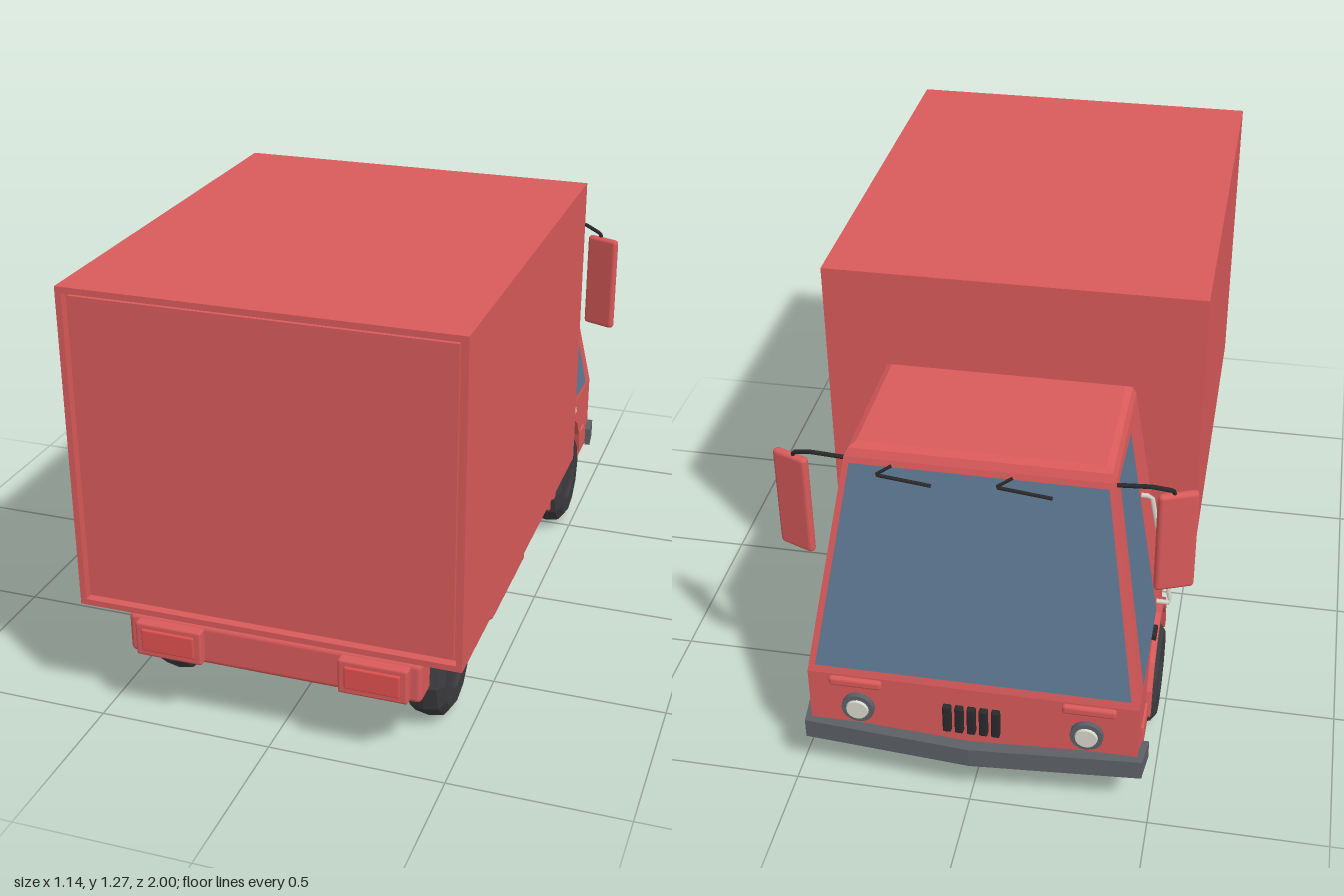
import * as THREE from 'three';
import { RoundedBoxGeometry } from 'three/addons/geometries/RoundedBoxGeometry.js';

const mat = (color, extra = {}) => new THREE.MeshStandardMaterial({ color, ...extra });

export function createModel() {
  const model = new THREE.Group();
  const red = mat(0xd95a5a);
  const lampRed = mat(0xe05050);
  const glass = mat(0x5c7690, { side: THREE.DoubleSide });
  const rubber = mat(0x3c3c40, { flatShading: true });
  const darkGrey = mat(0x5c6066);
  const black = mat(0x2a2a2c);
  const white = mat(0xd8d8cc);

  const add = (name, geometry, material, x = 0, y = 0, z = 0) => {
    const mesh = new THREE.Mesh(geometry, material);
    mesh.name = name;
    mesh.position.set(x, y, z);
    model.add(mesh);
    return mesh;
  };
  // box given by its limits on each axis
  const box = (name, [x0, x1], [y0, y1], [z0, z1], material = red, r = 0) => {
    const size = [x1 - x0, y1 - y0, z1 - z0];
    const geo = r ? new RoundedBoxGeometry(...size, 2, r) : new THREE.BoxGeometry(...size);
    return add(name, geo, material, (x0 + x1) / 2, (y0 + y1) / 2, (z0 + z1) / 2);
  };
  const shapeOf = pts => new THREE.Shape(pts.map(p => new THREE.Vector2(...p)));
  const extrude = (shape, depth) => new THREE.ExtrudeGeometry(shape, { depth, bevelEnabled: false });
  const tube = (name, pts, r, material) => {
    const path = new THREE.CurvePath();
    const v = pts.map(p => new THREE.Vector3(...p));
    for (let i = 1; i < v.length; i++) path.add(new THREE.LineCurve3(v[i - 1], v[i]));
    return add(name, new THREE.TubeGeometry(path, 24, r, 6), material);
  };
  const quad = (name, corners, material) => {
    const geo = new THREE.BufferGeometry();
    const order = [0, 1, 2, 0, 2, 3];
    geo.setAttribute('position', new THREE.Float32BufferAttribute(order.flatMap(i => corners[i]), 3));
    geo.computeVertexNormals();
    return add(name, geo, material);
  };

  // cargo box with a recessed rear door
  box('cargoBox', [-0.54, 0.54], [0.35, 1.27], [-0.31, 0.975]);
  const rect = (w, y0, y1) => [[-w, y0], [w, y0], [w, y1], [-w, y1]];
  const rim = shapeOf(rect(0.54, 0.35, 1.27));
  rim.holes.push(shapeOf(rect(0.523, 0.367, 1.253)));
  add('rearDoorFrame', extrude(rim, 0.025), red, 0, 0, 0.975);
  box('rearDoor', [-0.513, 0.513], [0.377, 1.243], [0.97, 0.987]);

  // chassis ladder
  for (const s of [-1, 1]) box('chassisRail', [s * 0.25 - 0.028, s * 0.25 + 0.028], [0.2, 0.32], [-0.4, 0.95]);
  for (const [z0, z1] of [[-0.36, -0.27], [0.24, 0.5]])
    box('crossMember', [-0.25, 0.25], [0.205, 0.315], [z0, z1], red, 0.03);
  box('rearCrossBar', [-0.42, 0.42], [0.2, 0.32], [0.87, 0.96], red, 0.015);

  // cab lower body, side outline with wheel arches: points are (-z, y)
  const arc = (r, from, to) => Array.from({ length: 9 }, (_, i) => {
    const a = from + (to - from) * i / 8;
    return [0.555 + r * Math.cos(a), 0.17 + r * Math.sin(a)];
  });
  const lower = [[0.36, 0.12], [0.37, 0.12], ...arc(0.185, Math.PI, 0), [0.74, 0.12],
    [0.935, 0.12], [0.945, 0.16], [0.945, 0.36], [0.36, 0.36]];
  add('cabLowerBody', extrude(shapeOf(lower), 0.92), red, -0.46).rotation.y = Math.PI / 2;
  box('cabFloor', [-0.335, 0.335], [0.115, 0.36], [-0.93, -0.365]);

  // cab upper body: rings of [y, half width, front z, back z]
  const rings = [[0.36, 0.46, -0.945, -0.36], [0.99, 0.358, -0.795, -0.36],
    [1.012, 0.348, -0.785, -0.365], [1.022, 0.33, -0.765, -0.38]]
    .map(([y, w, f, b]) => [[w, y, b], [w, y, f], [-w, y, f], [-w, y, b]]);
  const verts = [];
  const face = (a, b, c, d) => verts.push(...a, ...b, ...c, ...a, ...c, ...d);
  for (let k = 0; k < rings.length - 1; k++)
    for (let i = 0; i < 4; i++) {
      const j = (i + 1) % 4;
      face(rings[k][i], rings[k][j], rings[k + 1][j], rings[k + 1][i]);
    }
  face(...rings[3]);
  const cabGeo = new THREE.BufferGeometry();
  cabGeo.setAttribute('position', new THREE.Float32BufferAttribute(verts, 3));
  cabGeo.computeVertexNormals();
  add('cabUpperBody', cabGeo, red);

  // glazing lies just outside the sloping cab walls
  const sideX = y => 0.46 - (y - 0.36) * 0.162 + 0.004;
  const frontZ = y => -0.945 + (y - 0.36) * 0.238 - 0.004;
  quad('windscreen', [[-0.437, 0.385], [0.437, 0.385], [0.343, 0.975], [-0.343, 0.975]]
    .map(([x, y]) => [x, y, frontZ(y)]), glass);
  for (const s of [-1, 1])
    quad('sideWindow', [[-0.55, 0.385], [-0.87, 0.38], [-0.755, 0.98], [-0.53, 0.97]]
      .map(([z, y]) => [s * sideX(y), y, z]), glass);

  // wipers hang from the top of the windscreen
  for (const x of [-0.125, 0.195]) {
    const at = (dx, y) => [x + dx, y, frontZ(y) - 0.008];
    tube('wiper', [at(-0.075, 0.94), at(0.075, 0.955), at(0.03, 0.985)], 0.005, black);
  }

  // front bumper, plan outline (x, -z)
  const half = [[0.485, 0.88], [0.475, 0.965], [0, 1]];
  const inner = [[0, 0.965], [0.457, 0.935], [0.467, 0.88]];
  const flip = ([x, y]) => [-x, y];
  const plan = [...half, ...half.slice(0, 2).reverse().map(flip),
    ...inner.slice(1).reverse().map(flip), ...inner];
  add('frontBumper', extrude(shapeOf(plan), 0.06), darkGrey, 0, 0.13, 0).rotation.x = -Math.PI / 2;

  // grille bars
  for (let i = -2; i <= 2; i++)
    box('grilleBar', [i * 0.034 - 0.012, i * 0.034 + 0.012], [0.21, 0.3], [-0.962, -0.94], black, 0.005);

  // wheel, turned around its axle
  const profile = [[0, -0.045], [0.06, -0.05], [0.075, -0.058], [0.125, -0.058], [0.15, -0.04],
    [0.157, 0], [0.15, 0.04], [0.125, 0.058], [0.075, 0.058], [0.06, 0.05], [0, 0.045]];
  const wheelGeo = new THREE.LatheGeometry(profile.map(p => new THREE.Vector2(...p)), 12);
  wheelGeo.rotateZ(Math.PI / 2);
  const flare = shapeOf([...arc(0.208, Math.PI, 0), ...arc(0.183, 0, Math.PI)]);

  for (const s of [-1, 1]) {
    const span = (a, b) => s > 0 ? [a, b] : [-b, -a];
    add('frontWheel', wheelGeo, rubber, s * 0.425, 0.157, -0.555);
    add('rearWheel', wheelGeo, rubber, s * 0.38, 0.157, 0.67);
    add('wheelArchFlare', extrude(flare, 0.04), red, s > 0 ? 0.435 : -0.475).rotation.y = Math.PI / 2;
    box('sideTank', span(0.28, 0.46), [0.12, 0.34], [-0.02, 0.38], red, 0.015);
    box('cabStep', span(0.44, 0.467), [0.145, 0.22], [-0.86, -0.755], red, 0.006);

    // tail lamps: housing and raised lens
    box('tailLampHousing', span(0.195, 0.39), [0.208, 0.312], [0.95, 0.985], red, 0.008);
    box('tailLampLens', span(0.215, 0.37), [0.228, 0.295], [0.975, 0.991], lampRed, 0.005);

    // headlamps and indicators
    const lamp = add('headlampRim', new THREE.CylinderGeometry(0.046, 0.046, 0.022, 16), darkGrey, s * 0.32, 0.255, -0.95);
    lamp.rotation.x = Math.PI / 2;
    const lens = add('headlampLens', new THREE.CylinderGeometry(0.04, 0.03, 0.03, 16), white, s * 0.32, 0.255, -0.953);
    lens.rotation.x = Math.PI / 2;
    box('indicator', span(0.25, 0.4), [0.325, 0.355], [-0.957, -0.93], red, 0.01);

    // mirrors on bent arms
    const mirror = add('mirror', new RoundedBoxGeometry(0.11, 0.31, 0.026, 2, 0.012), red, s * 0.517, 0.8, -0.757);
    mirror.rotation.y = -s * 0.38;
    tube('mirrorArm', [[s * 0.35, 0.975, -0.78], [s * 0.45, 0.985, -0.785],
      [s * 0.505, 0.965, -0.765], [s * 0.51, 0.94, -0.76]], 0.006, black);

    // grab rail behind the door window, and door handle
    tube('grabRail', [[0.4, 0.02], [0.4, 0.04], [0.76, 0.03], [0.76, 0]]
      .map(([y, out], i) => [s * (sideX(y) + out - (i === 0 ? 0.02 : 0)), y, i < 2 ? -0.53 : -0.518]), 0.007, white);
    box('doorHandle', span(0.455, 0.472), [0.365, 0.38], [-0.66, -0.61], black);
  }

  // axles and exhaust
  for (const z of [-0.555, 0.67])
    add('axle', new THREE.CylinderGeometry(0.03, 0.03, 0.7, 10), red, 0, 0.165, z).rotation.z = Math.PI / 2;
  tube('exhaustPipe', [[-0.28, 0.165, -0.4], [-0.31, 0.165, -0.37], [-0.41, 0.165, -0.25]], 0.013, darkGrey);

  return model;
}
